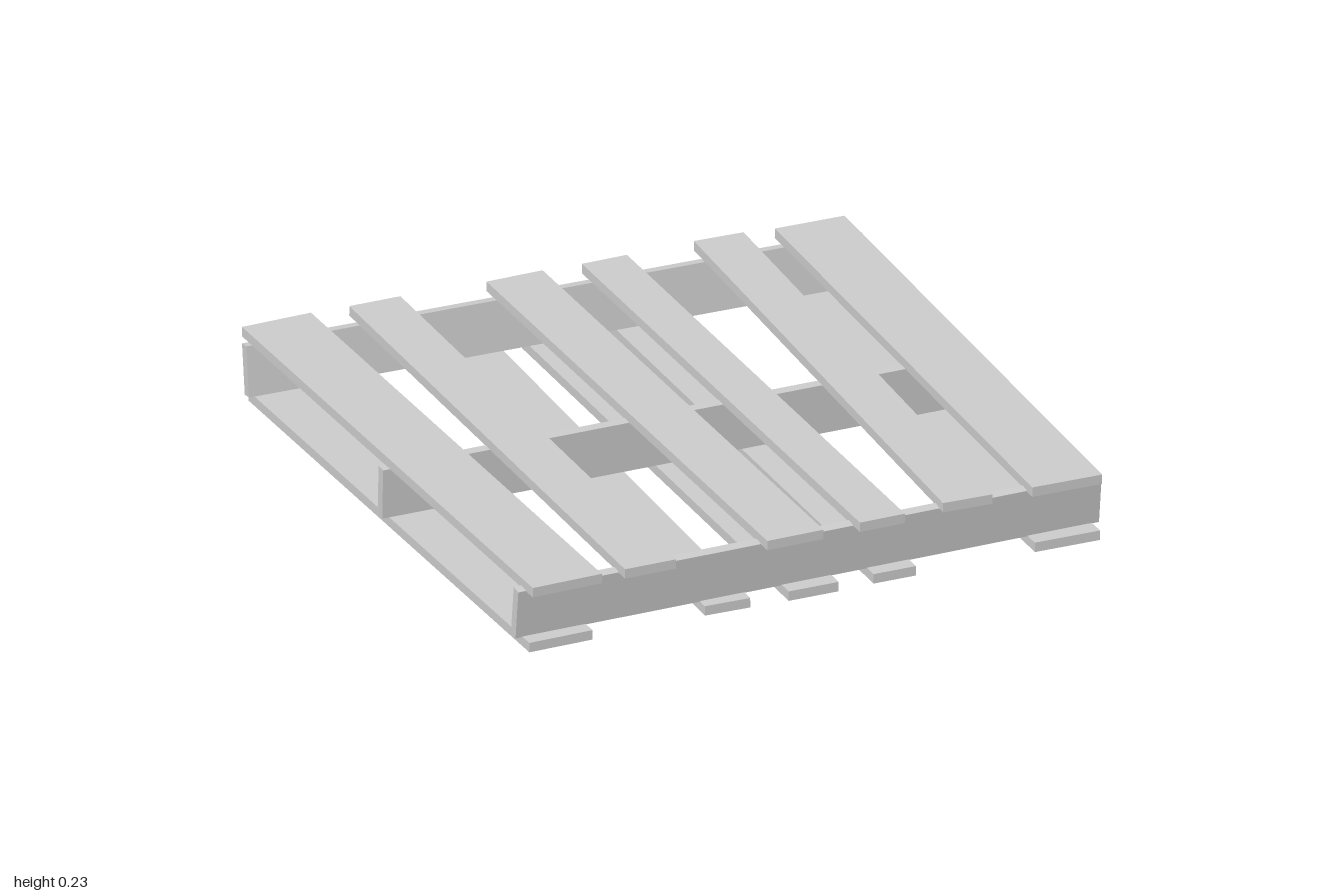
import * as THREE from 'three';

const material = new THREE.MeshStandardMaterial({ color: 0xcccccc, flatShading: true });

// Deck board running from back (xb, yb, zb) to front (xf, yf, zf), given by its centre line
function addBoard(group, name, width, [xb, yb, zb], [xf, yf, zf]) {
  const back = new THREE.Vector3(xb, yb, zb);
  const front = new THREE.Vector3(xf, yf, zf);
  const mesh = new THREE.Mesh(new THREE.BoxGeometry(width, 0.031, back.distanceTo(front)), material);
  mesh.name = name;
  mesh.position.addVectors(back, front).multiplyScalar(0.5);
  mesh.lookAt(front);
  group.add(mesh);
}

// Upright beam across the boards, turned about y and leaning forward or back
function addStringer(group, name, length, zLeft, zRight, lean, x) {
  const mesh = new THREE.Mesh(new THREE.BoxGeometry(length, 0.161, 0.033), material);
  mesh.name = name;
  mesh.position.set(x, 0.124, (zLeft + zRight) / 2);
  mesh.rotation.order = 'YXZ';
  mesh.rotation.set(lean, Math.atan2(zLeft - zRight, length), 0);
  group.add(mesh);
}

export function createModel() {
  const group = new THREE.Group();
  group.name = 'pallet';

  // Top deck: width, back x, back z, front x, front z
  [
    [0.228, -0.867, -1.0, -0.818, 0.993],
    [0.167, -0.547, -0.997, -0.545, 0.99],
    [0.185, -0.096, -0.985, -0.069, 0.985],
    [0.148, 0.195, -0.98, 0.216, 0.983],
    [0.16, 0.57, -0.983, 0.503, 0.965],
    [0.226, 0.858, -0.963, 0.823, 0.975],
  ].forEach(([w, xb, zb, xf, zf], i) =>
    addBoard(group, `topBoard${i + 1}`, w, [xb, 0.222, zb], [xf, 0.215, zf]));

  // Bottom deck
  [
    [0.208, -0.866, -0.975, -0.833, 0.98],
    [0.147, -0.236, -0.97, -0.283, 0.967],
    [0.163, 0.003, -0.968, -0.005, 0.975],
    [0.138, 0.272, -0.967, 0.262, 0.97],
    [0.212, 0.855, -0.965, 0.826, 0.97],
  ].forEach(([w, xb, zb, xf, zf], i) =>
    addBoard(group, `bottomBoard${i + 1}`, w, [xb, 0.018, zb], [xf, 0.029, zf]));

  // Three stringers between the decks
  addStringer(group, 'frontStringer', 1.915, 0.905, 0.925, 0.12, -0.002);
  group.getObjectByName('frontStringer').rotation.y = Math.atan2(0.02, 1.915);
  addStringer(group, 'middleStringer', 1.955, 0, 0, 0.03, -0.002);
  addStringer(group, 'backStringer', 1.995, -0.935, -0.895, -0.13, 0);
  group.getObjectByName('backStringer').rotation.y = -Math.atan2(0.04, 1.995);

  return group;
}
